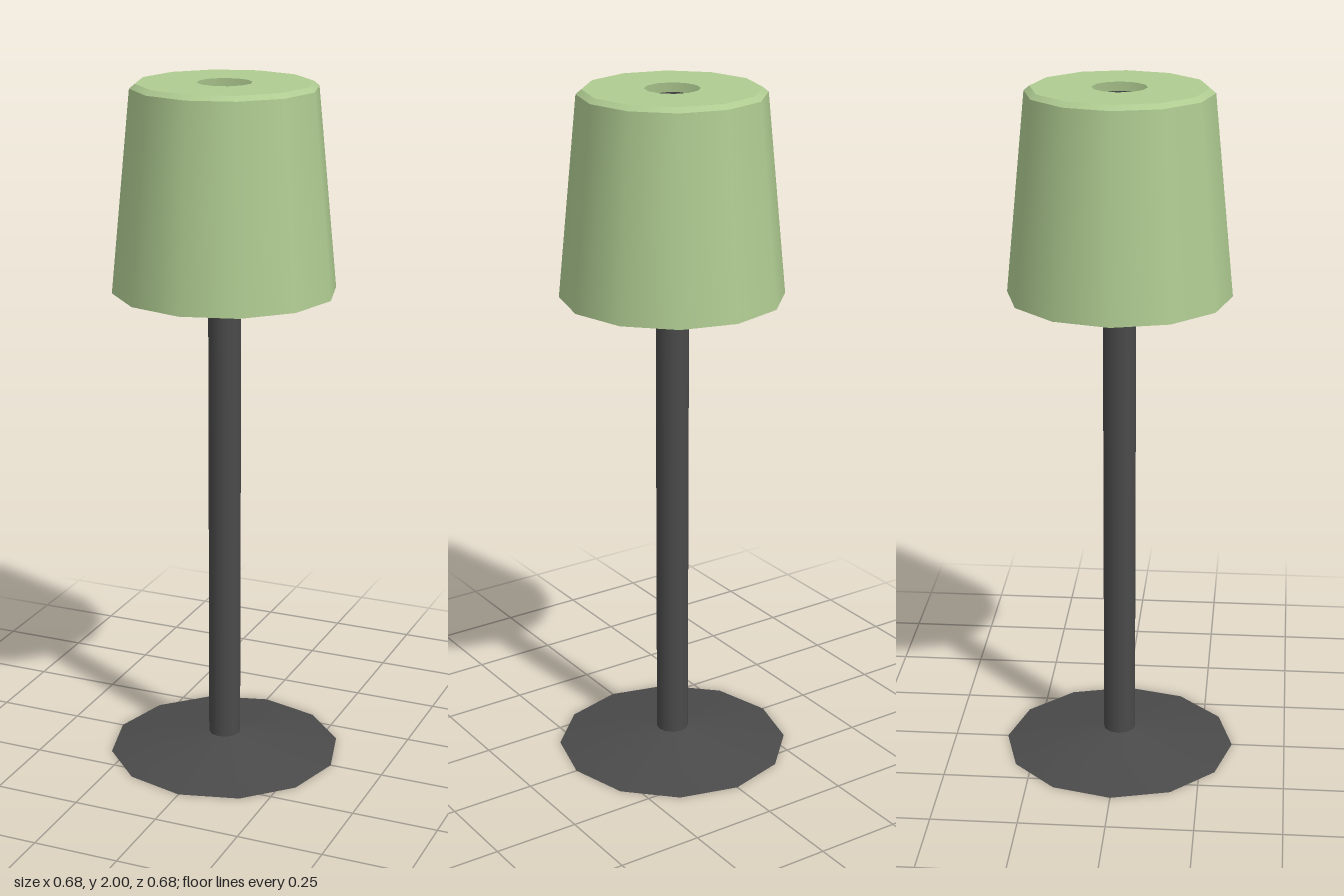
import * as THREE from 'three';

const SIDES = 12;

// Open, smooth-sided band between two radii and heights
function band(name, rTop, yTop, rBottom, yBottom, material) {
  const geometry = new THREE.CylinderGeometry(rTop, rBottom, yTop - yBottom, SIDES, 1, true);
  const mesh = new THREE.Mesh(geometry, material);
  mesh.position.y = (yTop + yBottom) / 2;
  mesh.name = name;
  return mesh;
}

export function createModel() {
  const green = new THREE.MeshStandardMaterial({ color: 0xafcb91, side: THREE.DoubleSide });
  const dark = new THREE.MeshStandardMaterial({ color: 0x4a4a4a, side: THREE.DoubleSide });

  const lamp = new THREE.Group();
  lamp.name = 'tableLamp';

  // Shallow hollow foot and the open tube rising from it
  lamp.add(band('base', 0.047, 0.05, 0.342, 0, dark));
  lamp.add(band('pole', 0.047, 1.98, 0.047, 0.05, dark));

  // Thin shade: tapered wall, bevelled rim, flat top with a round opening
  const shade = new THREE.Group();
  shade.name = 'shade';
  shade.add(band('shadeWall', 0.262, 1.987, 0.318, 1.417, green));
  shade.add(band('shadeRim', 0.246, 2, 0.262, 1.987, green));
  const top = new THREE.Mesh(new THREE.RingGeometry(0.077, 0.246, SIDES), green);
  top.rotation.x = -Math.PI / 2;
  top.position.y = 2;
  top.name = 'shadeTop';
  shade.add(top);
  lamp.add(shade);

  return lamp;
}
